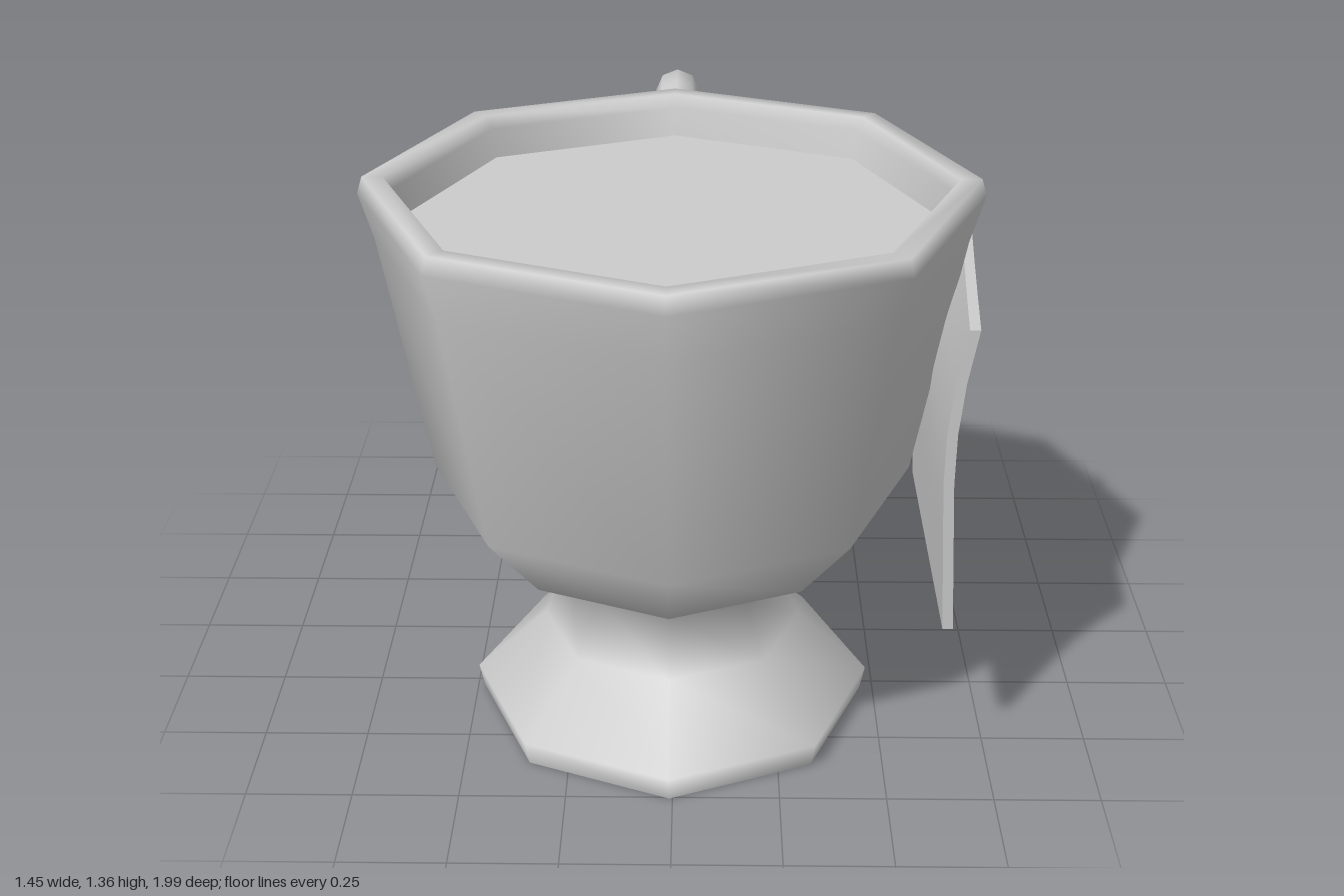
import * as THREE from 'three';

const material = new THREE.MeshStandardMaterial({ color: 0xcccccc });
const SIDES = 8;
const CENTRE_X = -0.008, CENTRE_Z = 0.28;

function part(name, geometry) {
  const mesh = new THREE.Mesh(geometry, material);
  mesh.name = name;
  return mesh;
}

// Octagonal cup: foot, waist, bowl, rim and inner wall in one profile
function createCup() {
  const profile = [
    [0.475, 0], [0.488, 0.06], [0.315, 0.22], [0.247, 0.36], [0.43, 0.46],
    [0.572, 0.63], [0.682, 1.21], [0.715, 1.32], [0.703, 1.36],
    [0.655, 1.36], [0.638, 1.33], [0.61, 1.2],
  ].map(([r, y]) => new THREE.Vector2(r, y));
  const cup = new THREE.Group();
  cup.name = 'cup';
  cup.position.set(CENTRE_X, 0, CENTRE_Z);
  cup.add(part('bowlAndFoot', new THREE.LatheGeometry(profile, SIDES)));
  cup.add(part('footBottom', new THREE.CircleGeometry(0.475, SIDES).rotateX(Math.PI / 2)));
  cup.add(part('liquid', new THREE.CircleGeometry(0.623, SIDES).rotateX(-Math.PI / 2).translate(0, 1.26, 0)));
  return cup;
}

// Handle: oval rings strung between an outer and an inner outline in the yz plane
function createHandle() {
  // outer z, outer y, inner z, inner y, half width
  const sections = [
    [-0.34, 1.08, -0.31, 0.92, 0.07], [-0.42, 1.09, -0.42, 0.935, 0.066],
    [-0.58, 1.25, -0.545, 1.06, 0.06], [-0.68, 1.305, -0.7, 1.2, 0.058],
    [-0.86, 1.285, -0.82, 1.185, 0.058], [-1.0, 1.2, -0.89, 1.13, 0.058],
    [-0.965, 1.01, -0.875, 1.04, 0.058], [-0.87, 0.81, -0.79, 0.885, 0.058],
    [-0.7, 0.63, -0.64, 0.745, 0.06], [-0.4, 0.55, -0.38, 0.665, 0.06],
    [-0.27, 0.49, -0.2, 0.59, 0.064], [-0.13, 0.46, -0.1, 0.5, 0.07],
  ];
  const positions = [], index = [];
  const addRing = ([oz, oy, iz, iy, w]) => {
    const start = positions.length / 3;
    for (let j = 0; j < SIDES; j++) {
      const a = (j / SIDES) * Math.PI * 2, k = Math.cos(a) / 2;
      positions.push(
        CENTRE_X + Math.sin(a) * w,
        (oy + iy) / 2 + (oy - iy) * k,
        (oz + iz) / 2 + (oz - iz) * k,
      );
    }
    return start;
  };
  sections.forEach(addRing);
  for (let i = 0; i < sections.length - 1; i++) {
    for (let j = 0; j < SIDES; j++) {
      const a = i * SIDES + j, b = i * SIDES + (j + 1) % SIDES;
      index.push(a, b, a + SIDES, b, b + SIDES, a + SIDES);
    }
  }
  // Flat caps with their own corners
  const first = addRing(sections[0]), last = addRing(sections[sections.length - 1]);
  for (let j = 1; j < SIDES - 1; j++) {
    index.push(first, first + j + 1, first + j);
    index.push(last, last + j, last + j + 1);
  }
  const geometry = new THREE.BufferGeometry();
  geometry.setAttribute('position', new THREE.Float32BufferAttribute(positions, 3));
  geometry.setIndex(index);
  geometry.computeVertexNormals();
  return part('handle', geometry);
}

// Tag: thin plate bent outward toward its upper back corner
function createTag() {
  const { lerp } = THREE.MathUtils;
  const geometry = new THREE.BoxGeometry(0.024, 1, 1, 1, 6, 4);
  const p = geometry.attributes.position;
  for (let i = 0; i < p.count; i++) {
    const v = p.getY(i) + 0.5, t = 0.5 - p.getZ(i);
    const y = lerp(lerp(0.39, 0.41, t), lerp(1.145, 1.16, t), v);
    const z = lerp(lerp(0.63, -0.12, t), lerp(0.645, -0.09, t), v);
    const bend = y < 0.8
      ? 0.021 * (0.8 - y) / 0.41
      : ((y - 0.8) / 0.35) ** 2 * (0.038 + 0.055 * t);
    p.setXYZ(i, p.getX(i) + 0.612 + bend, y, z);
  }
  geometry.computeVertexNormals();
  return part('tag', geometry);
}

export function createModel() {
  const model = new THREE.Group();
  model.name = 'teacup';
  model.add(createCup(), createHandle(), createTag());
  return model;
}
